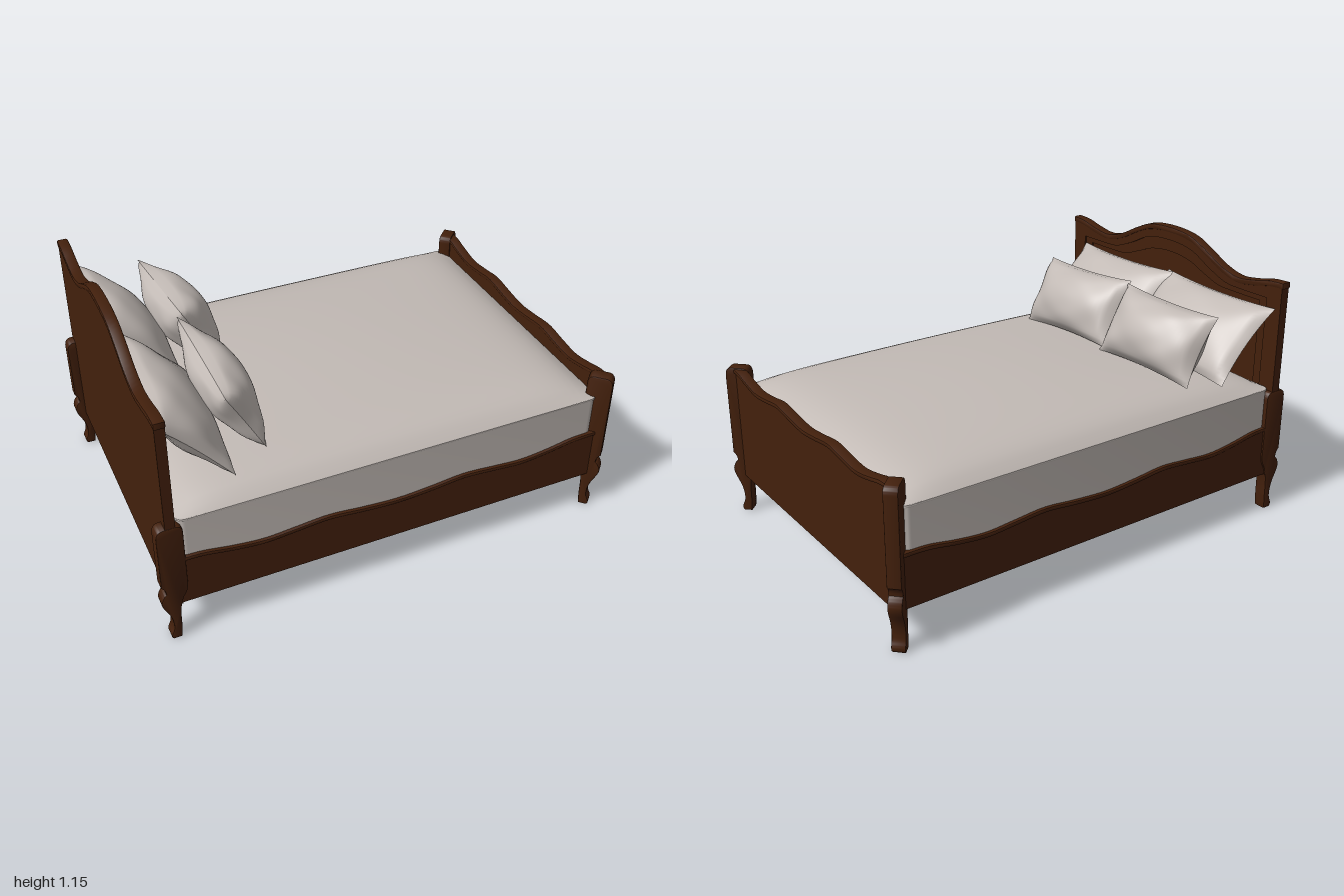
import * as THREE from 'three';
import { toCreasedNormals } from 'three/addons/utils/BufferGeometryUtils.js';

const wood = new THREE.MeshStandardMaterial({ color: 0x43200c });
wood.name = 'dark wood';
const fabric = new THREE.MeshStandardMaterial({ color: 0xc2bab5 });
fabric.name = 'pale linen';

const V = (x, y) => new THREE.Vector2(x, y);
const BASE = 0.175;

function add(parent, name, geometry, material, x = 0, y = 0, z = 0) {
  const mesh = new THREE.Mesh(geometry, material);
  mesh.name = name;
  mesh.position.set(x, y, z);
  parent.add(mesh);
  return mesh;
}

// Symmetric smooth curve from points listed centre outwards
function crest(half) {
  const left = half.slice(1).reverse().map(([s, y]) => V(-s, y));
  return new THREE.SplineCurve([...left, ...half.map(([s, y]) => V(s, y))]).getPoints(64);
}

// Board below a curve: closed at a flat base, or a band of constant height
const boardShape = (top, base) => new THREE.Shape([V(top[0].x, base), V(top.at(-1).x, base), ...top.slice().reverse()]);
const bandShape = (top, t) => new THREE.Shape([...top.map(p => V(p.x, p.y - t)), ...top.slice().reverse()]);

function slab(shape, depth, bevel = 0) {
  const geo = new THREE.ExtrudeGeometry(shape, {
    depth: depth - 2 * bevel, bevelEnabled: bevel > 0, bevelSize: bevel, bevelOffset: -bevel,
    bevelThickness: bevel, bevelSegments: 2, curveSegments: 10,
  });
  geo.translate(0, 0, bevel - depth / 2);
  return toCreasedNormals(geo, 0.6);
}
const across = geo => geo.rotateY(Math.PI / 2);

// Cabriole leg: block on top, bulging knee, small foot turned outwards along +x
function legGeometry(top) {
  const s = new THREE.Shape();
  s.moveTo(-0.01, 0);
  s.lineTo(0.024, 0);
  s.quadraticCurveTo(0.036, 0.012, 0.026, 0.032);
  s.quadraticCurveTo(0.012, 0.055, 0.02, 0.1);
  s.bezierCurveTo(0.03, 0.15, 0.056, 0.17, 0.056, 0.205);
  s.quadraticCurveTo(0.05, 0.235, 0.034, 0.245);
  s.quadraticCurveTo(0.034, 0.27, 0.051, 0.285);
  s.lineTo(0.051, top - 0.035);
  s.quadraticCurveTo(0.05, top - 0.003, 0.025, top);
  s.lineTo(-0.03, top);
  s.quadraticCurveTo(-0.054, top - 0.003, -0.054, top - 0.035);
  s.lineTo(-0.054, 0.27);
  s.quadraticCurveTo(-0.052, 0.235, -0.036, 0.215);
  s.quadraticCurveTo(-0.016, 0.17, -0.016, 0.1);
  s.quadraticCurveTo(-0.016, 0.03, -0.01, 0);
  return slab(s, 0.056, 0.005);
}

function headboard() {
  const g = new THREE.Group();
  g.name = 'headboard';
  const top = crest([[0, 1.147], [0.13, 1.135], [0.23, 1.095], [0.33, 1.045], [0.43, 1.02], [0.53, 1.032], [0.61, 1.05], [0.685, 1.055]]);
  add(g, 'headboardBack', across(slab(boardShape(top, BASE), 0.022)), wood, -0.944);
  // Two stepped frames around the sunken panel
  const holes = [
    [[0, 1.09], [0.14, 1.075], [0.26, 1.02], [0.36, 0.982], [0.45, 0.975], [0.605, 0.975]],
    [[0, 1.035], [0.12, 1.022], [0.22, 0.985], [0.31, 0.955], [0.4, 0.95], [0.56, 0.95]],
  ];
  holes.forEach((points, i) => {
    const shape = boardShape(i ? crest(holes[0]) : top, i ? 0.3 : BASE);
    shape.holes.push(boardShape(crest(points), 0.35 + 0.03 * i));
    const depth = i ? 0.009 : 0.018;
    add(g, i ? 'innerPanelFrame' : 'outerPanelFrame', across(slab(shape, depth)), wood, -0.933 + depth / 2);
  });
  const cap = top.map(p => V(p.x * 1.008, p.y + 0.004));
  add(g, 'headboardCap', across(slab(bandShape(cap, 0.026), 0.046, 0.006)), wood, -0.935);
  return g;
}

function footboard() {
  const g = new THREE.Group();
  g.name = 'footboard';
  const top = crest([[0, 0.636], [0.1, 0.645], [0.22, 0.66], [0.32, 0.648], [0.43, 0.638], [0.53, 0.655], [0.6, 0.672], [0.66, 0.675]]);
  add(g, 'footboardPanel', across(slab(boardShape(top, BASE), 0.034)), wood, 0.945);
  add(g, 'footboardCap', across(slab(bandShape(top.map(p => V(p.x, p.y + 0.004)), 0.018), 0.046, 0.005)), wood, 0.946);
  return g;
}

function sideRail(side) {
  const g = new THREE.Group();
  g.name = side > 0 ? 'frontRail' : 'backRail';
  const top = crest([[0, 0.363], [0.15, 0.372], [0.3, 0.386], [0.44, 0.376], [0.57, 0.367], [0.7, 0.38], [0.82, 0.4], [0.93, 0.403]]);
  add(g, 'railBoard', slab(boardShape(top, BASE), 0.04), wood, 0, 0, side * 0.66);
  add(g, 'railCap', slab(bandShape(top.map(p => V(p.x, p.y + 0.004)), 0.018), 0.046, 0.005), wood, 0, 0, side * 0.663);
  return g;
}

function mattress() {
  const g = new THREE.Group();
  g.name = 'mattress';
  g.position.x = 0.007;
  const a = 0.917, b = 0.675, r = 0.035;
  const outline = (w, d) => new THREE.Shape([[1, 1, 0], [-1, 1, 1], [-1, -1, 2], [1, -1, 3]].flatMap(([sx, sy, q]) =>
    Array.from({ length: 9 }, (_, i) => {
      const t = (q + i / 8) * Math.PI / 2;
      return V(sx * (w - r) + r * Math.cos(t), sy * (d - r) + r * Math.sin(t));
    })));
  const upright = geo => geo.rotateX(-Math.PI / 2);
  add(g, 'mattressBody', upright(slab(outline(a - 0.003, b - 0.003), 0.33)), fabric, 0, 0.415);
  add(g, 'mattressSeam', upright(slab(outline(a, b), 0.012, 0.004)), fabric, 0, 0.58);
  // Softly domed top with rounded corners
  const dome = upright(new THREE.PlaneGeometry(2, 2, 48, 40));
  const p = dome.attributes.position;
  for (let i = 0; i < p.count; i++) {
    const u = p.getX(i), v = p.getZ(i), x = u * a, z = v * b;
    const qx = THREE.MathUtils.clamp(x, r - a, a - r), qz = THREE.MathUtils.clamp(z, r - b, b - r);
    const k = Math.min(1, r / (Math.hypot(x - qx, z - qz) || 1));
    const edge = (1 - Math.abs(u) ** 11) * (1 - Math.abs(v) ** 11);
    p.setXYZ(i, qx + (x - qx) * k, 0.584 + 0.06 * edge + 0.045 * (1 - u * u) * (1 - v * v), qz + (z - qz) * k);
  }
  dome.computeVertexNormals();
  add(g, 'mattressTop', dome, fabric);
  return g;
}

// Pillow: two bulging sheets meeting at a sharp seam, pointed corners, soft creases
function pillow(name, w, h, t, seed) {
  const g = new THREE.Group();
  g.name = name;
  for (const face of [1, -1]) {
    const geo = new THREE.PlaneGeometry(2, 2, 28, 24);
    const p = geo.attributes.position;
    for (let i = 0; i < p.count; i++) {
      const u = p.getX(i), v = p.getY(i);
      const fill = Math.max(0, (1 - u * u) * (1 - v * v));
      const crease = 1 + 0.14 * Math.sin(6 * u * face + seed) * Math.sin(5 * v + 2 * seed) * (u * u + v * v);
      p.setXYZ(i, u * w * (1 - 0.06 * (1 - v * v)), v * h * (1 - 0.08 * (1 - u * u)), t * fill ** 0.55 * crease);
    }
    if (face < 0) geo.rotateY(Math.PI);
    geo.computeVertexNormals();
    add(g, face > 0 ? 'pillowFront' : 'pillowBack', geo, fabric);
  }
  return g;
}

export function createModel() {
  const bed = new THREE.Group();
  bed.name = 'bed';
  bed.add(headboard(), footboard(), mattress());

  const headLeg = legGeometry(0.57), footLeg = legGeometry(0.685);
  for (const side of [1, -1]) {
    bed.add(sideRail(side));
    add(bed, 'headLeg', headLeg, wood, -0.942, 0, side * 0.659).rotation.y = Math.PI;
    add(bed, 'footLeg', footLeg, wood, 0.94, 0, side * 0.656).rotation.y = -side * Math.PI / 4;
  }

  // name, half width, half height, half thickness, x, y, z, lean, yaw, roll
  const pillows = [
    ['backPillowRight', 0.33, 0.2, 0.085, -0.765, 0.805, 0.265, 0.74, -0.06, 0.03],
    ['backPillowLeft', 0.33, 0.2, 0.085, -0.77, 0.805, -0.335, 0.76, 0, -0.02],
    ['frontPillowRight', 0.285, 0.16, 0.105, -0.56, 0.808, 0.215, 0.5, -0.02, 0.05],
    ['frontPillowLeft', 0.265, 0.16, 0.115, -0.55, 0.808, -0.335, 0.5, 0.08, -0.04],
  ];
  pillows.forEach(([name, w, h, t, x, y, z, lean, yaw, roll], i) => {
    const cushion = pillow(name, w, h, t, i * 1.7 + 0.5);
    cushion.position.set(x, y, z);
    cushion.rotation.set(-lean, Math.PI / 2 + yaw, roll, 'YXZ');
    bed.add(cushion);
  });
  return bed;
}
